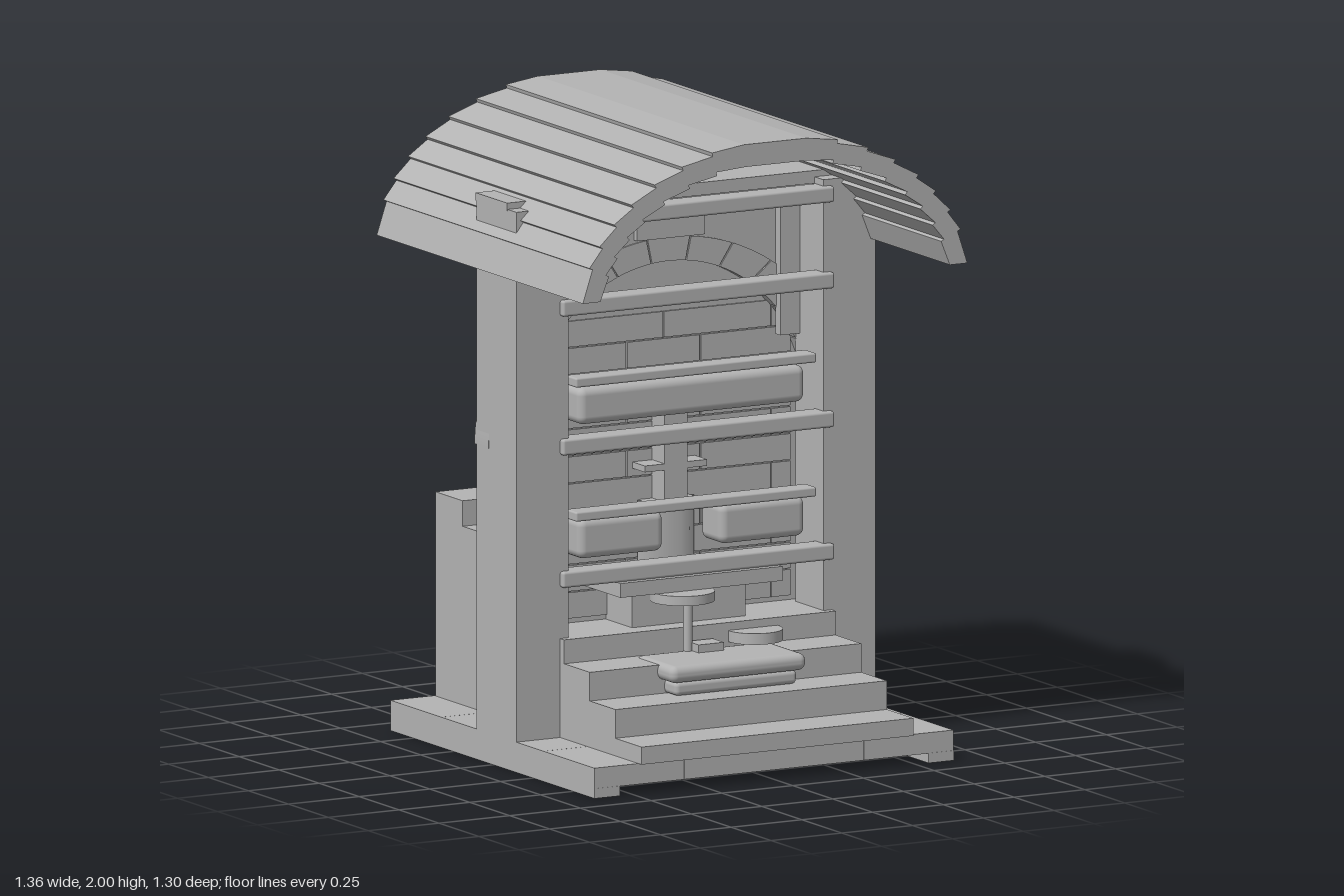
import * as THREE from 'three';
import { RoundedBoxGeometry } from 'three/addons/geometries/RoundedBoxGeometry.js';

export function createModel() {
  const model = new THREE.Group();
  const stone = new THREE.MeshStandardMaterial({ color: 0xb3b3b3 });
  stone.name = 'plain grey';

  const add = (name, geometry) => {
    const mesh = new THREE.Mesh(geometry, stone);
    mesh.name = name;
    model.add(mesh);
    return mesh;
  };
  // Box given by its limits on each axis, with optional rounded edges
  const box = (name, x0, x1, y0, y1, z0, z1, r = 0) => {
    const s = [x1 - x0, y1 - y0, z1 - z0];
    const g = r ? new RoundedBoxGeometry(...s, 3, r) : new THREE.BoxGeometry(...s);
    add(name, g).position.set((x0 + x1) / 2, (y0 + y1) / 2, (z0 + z1) / 2);
  };
  const extrude = (name, shape, z0, z1) => {
    const g = new THREE.ExtrudeGeometry(shape, { depth: z1 - z0, bevelEnabled: false, curveSegments: 24 });
    add(name, g).position.z = z0;
  };
  const disc = (name, x, y0, y1, z, r, sides = 32) => {
    add(name, new THREE.CylinderGeometry(r, r, y1 - y0, sides)).position.set(x, (y0 + y1) / 2, z);
  };

  // Base of sixteen slabs with a rail under each side
  for (let i = 0; i < 4; i++) {
    for (let j = 0; j < 4; j++) {
      const x = -0.635 + i * 0.3175, z = -0.643 + j * 0.3195;
      box('baseSlab', x, x + 0.3165, 0.03, 0.095, z, z + 0.3185);
    }
  }
  for (const s of [-1, 1]) {
    const mid = s * 0.59;
    box('baseRail', mid - 0.045, mid + 0.045, 0, 0.031, -0.643, 0.635);
  }

  // Front steps and taller rear steps
  [[0.15, 0.655], [0.24, 0.49], [0.33, 0.33], [0.405, 0.17]].forEach(([y, z], i) => {
    box('frontStep', -0.48, 0.48, [0.095, 0.15, 0.24, 0.33][i], y, i < 3 ? 0.14 : -0.08, z);
  });
  const rear = new THREE.Shape();
  [[0.635, 0.094], [0.635, 0.735], [0.465, 0.735], [0.465, 0.655], [0.305, 0.655],
    [0.305, 0.575], [0.145, 0.575], [0.145, 0.495], [0.1, 0.495], [0.1, 0.094]]
    .forEach(([z, y], i) => (i ? rear.lineTo(z, y) : rear.moveTo(z, y)));
  const rearGeo = new THREE.ExtrudeGeometry(rear, { depth: 0.96, bevelEnabled: false });
  rearGeo.rotateY(Math.PI / 2);
  add('rearSteps', rearGeo).position.x = -0.48;

  // Side posts, narrower at the rear, with ends rising through the roof
  for (const s of [-1, 1]) {
    const side = (name, a, b, ...rest) => box(name, Math.min(s * a, s * b), Math.max(s * a, s * b), ...rest);
    side('postFront', 0.45, 0.635, 0.095, 1.755, -0.03, 0.145);
    side('postBack', 0.5, 0.635, 0.095, 1.755, -0.105, -0.03);
    side('postCap', 0.45, 0.637, 1.75, 1.775, -0.108, 0.09);
    side('wallStrip', 0.38, 0.45, 1.25, 1.7, -0.03, 0.0);
  }

  // Recessed wall panel and the wall above the arch
  box('wallPanel', -0.5, 0.5, 0.095, 1.56, -0.085, -0.065);
  const CY = 0.985;
  const spandrel = new THREE.Shape();
  spandrel.moveTo(0.5, CY + 0.1);
  spandrel.lineTo(0.5, 1.775);
  spandrel.lineTo(-0.5, 1.775);
  spandrel.lineTo(-0.5, CY + 0.1);
  spandrel.absellipse(0, CY, 0.51, 0.535, Math.PI - 0.19, 0.19, true);
  extrude('archWall', spandrel, -0.103, -0.03);
  // Courses of blocks on the inside of the panel
  for (let row = 0; row < 11; row++) {
    const y = 0.42 + row * 0.085;
    const cuts = row % 2 ? [-0.45, -0.13, 0.13, 0.45] : [-0.45, -0.38, 0, 0.38, 0.45];
    for (let i = 0; i + 1 < cuts.length; i++) {
      box('wallBlock', cuts[i] + 0.002, cuts[i + 1] - 0.002, y, y + 0.081, -0.066, -0.058);
    }
  }
  box('keystone', -0.12, 0.12, 1.59, 1.7, -0.112, -0.01);
  box('lintel', -0.5, 0.5, 1.735, 1.775, -0.108, 0.09);

  // Arch of wedge-shaped stones
  const count = 13;
  for (let i = 0; i < count; i++) {
    const a0 = (i / count) * Math.PI + 0.004, a1 = ((i + 1) / count) * Math.PI - 0.004;
    const wedge = new THREE.Shape();
    wedge.absellipse(0, CY, 0.637, 0.605, a0, a1, false);
    wedge.absellipse(0, CY, 0.505, 0.53, a1, a0, true);
    extrude('archStone', wedge, -0.113, -0.025);
  }

  // Horizontal bars across the front
  for (const y of [0.565, 0.98, 1.415, 1.685]) box('frontBar', -0.48, 0.48, y, y + 0.05, 0.09, 0.165, 0.008);
  for (const y of [0.765, 1.185]) box('thinBar', -0.425, 0.425, y, y + 0.03, 0.08, 0.148, 0.006);
  box('upperCushion', -0.4, 0.4, 1.06, 1.175, -0.01, 0.125, 0.025);
  for (const s of [-1, 1]) box('lowerCushion', s * 0.25 - 0.15, s * 0.25 + 0.15, 0.64, 0.765, -0.01, 0.125, 0.025);

  // Central pillar and its bracket
  disc('pillar', 0, 0.5, 0.77, -0.045, 0.1, 4);
  box('pillarShaft', -0.04, 0.04, 0.76, 1.07, -0.07, 0.02);
  for (const s of [-1, 1]) box('bracket', s * 0.075 - 0.035, s * 0.075 + 0.035, 0.87, 0.89, -0.07, 0.02);
  box('rearPeg', -0.04, 0.04, 0.875, 0.905, -0.1, -0.08);

  // Table, round plates and tray
  box('table', -0.287, 0.287, 0.52, 0.565, -0.145, 0.18);
  box('tableSupport', -0.2, 0.2, 0.4, 0.52, -0.08, 0.1);
  disc('highPlate', -0.06, 0.49, 0.52, 0.167, 0.1);
  disc('plateStem', -0.06, 0.33, 0.49, 0.2, 0.014, 12);
  box('stemFoot', -0.05, 0.04, 0.335, 0.362, 0.18, 0.25);
  disc('lowPlate', 0.187, 0.345, 0.38, 0.18, 0.088);
  disc('rearPlate', 0.187, 0.57, 0.597, -0.17, 0.1);
  box('tray', -0.24, 0.24, 0.283, 0.337, 0.18, 0.42, 0.024);
  box('trayFoot', -0.215, 0.215, 0.24, 0.284, 0.2, 0.4, 0.015);

  // Vaulted roof of overlapping planks
  const edges = [0.11, 0.22, 0.325, 0.42, 0.5, 0.56, 0.61, 0.645, 0.668];
  const xs = [...edges.map((x) => -x).reverse(), ...edges];
  const at = (x, off) => {
    const h = Math.sqrt(1 - (x / 0.68) ** 2);
    const n = new THREE.Vector2(x / 0.4624, h / 0.5).normalize();
    return new THREE.Vector2(x + n.x * off, 1.5 + 0.5 * h + n.y * off);
  };
  const outer = [], inner = [];
  for (let i = 0; i + 1 < xs.length; i++) {
    const mid = xs[i] + xs[i + 1];
    const liftA = mid < -0.01 ? 0.012 : 0, liftB = mid > 0.01 ? 0.012 : 0;
    outer.push(at(xs[i], liftA), at(xs[i + 1], liftB));
    inner.push(at(xs[i], liftA - 0.064), at(xs[i + 1], liftB - 0.064));
  }
  // Level ends at the eaves, and a flat crown at full height
  for (const p of [outer[0], outer[outer.length - 1], inner[0], inner[inner.length - 1]]) p.y = 1.555;
  outer.forEach((p) => { if (Math.abs(p.x) < 0.115) p.y = 2; });
  const roof = new THREE.Shape([...outer, ...inner.reverse()]);
  extrude('roof', roof, -0.65, 0.64);

  return model;
}
